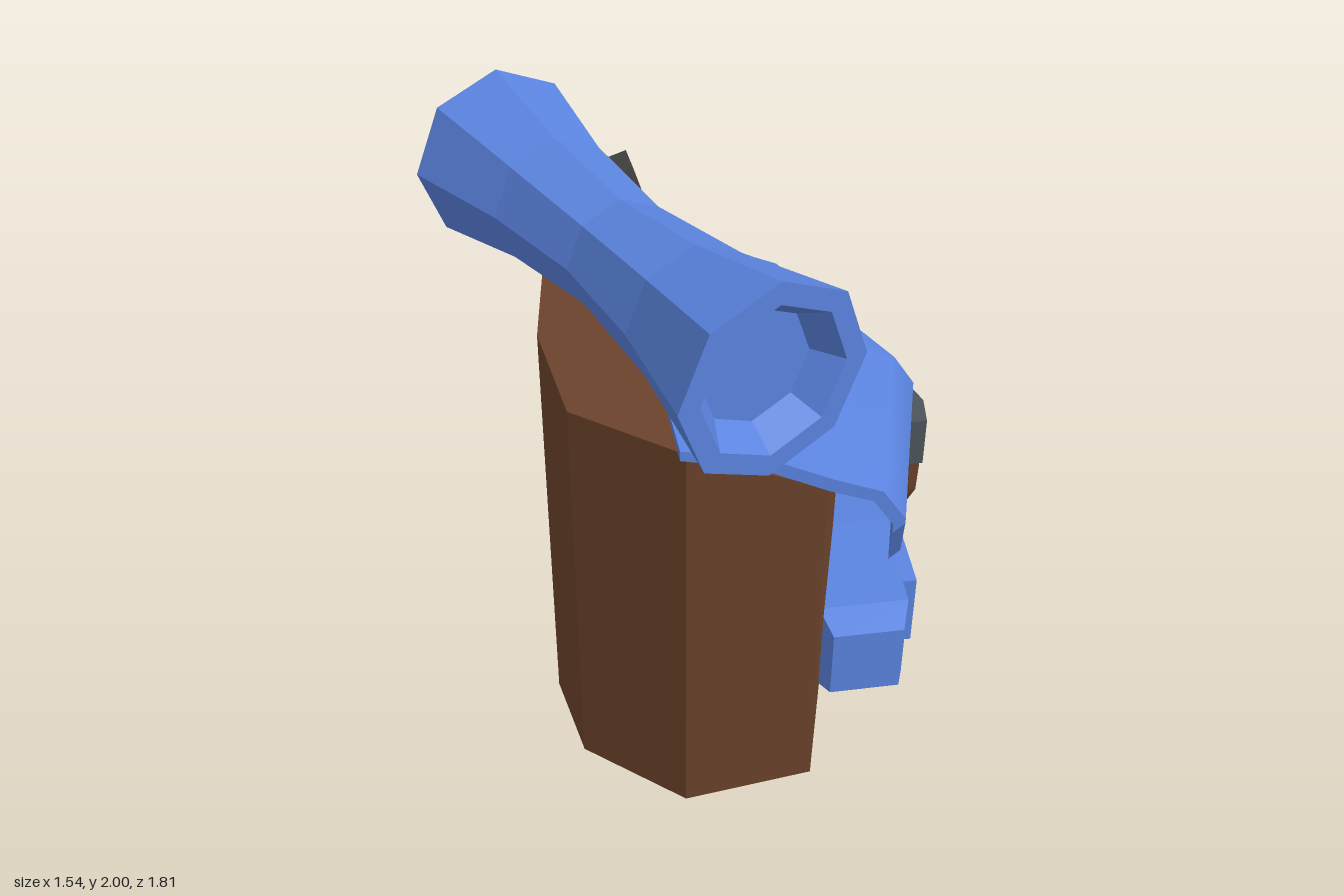
import * as THREE from 'three';
import { toCreasedNormals } from 'three/addons/utils/BufferGeometryUtils.js';

const mat = (color) => new THREE.MeshStandardMaterial({ color, flatShading: true });
const brown = mat(0x6b432b), blue = mat(0x5b84e0), dark = mat(0x434343);
const slate = mat(0x4c545c), teal = mat(0x5f929c);

function add(parent, name, geometry, material) {
  const mesh = new THREE.Mesh(geometry, material);
  mesh.name = name;
  parent.add(mesh);
  return mesh;
}

// Skins rings of equal, even point count and closes both ends; faces are turned outward.
function loft(rings) {
  const tris = [], n = rings[0].length;
  const tri = (a, b, c) => {
    const [p, q, r] = [a, b, c].map((v) => new THREE.Vector3(...v));
    const area = q.clone().sub(p).cross(r.clone().sub(p)).length();
    if (area > 1e-7) tris.push([p, q, r]);
  };
  const quad = (a, b, c, d) => { tri(a, b, c); tri(a, c, d); };
  for (let k = 0; k + 1 < rings.length; k++) {
    for (let i = 0; i < n; i++) {
      const j = (i + 1) % n;
      quad(rings[k][i], rings[k][j], rings[k + 1][j], rings[k + 1][i]);
    }
  }
  const first = rings[0], last = rings[rings.length - 1];
  for (let i = 0; i < n / 2 - 1; i++) {
    quad(first[n - 1 - i], first[n - 2 - i], first[i + 1], first[i]);
    quad(last[i], last[i + 1], last[n - 2 - i], last[n - 1 - i]);
  }
  const volume = tris.reduce((s, [p, q, r]) => s + p.dot(q.clone().cross(r)), 0);
  const pos = tris.flatMap(([p, q, r]) => (volume > 0 ? [p, q, r] : [p, r, q]))
    .flatMap((v) => v.toArray());
  const geo = new THREE.BufferGeometry();
  geo.setAttribute('position', new THREE.Float32BufferAttribute(pos, 3));
  geo.computeVertexNormals();
  return geo;
}

// Block bowed along z; stations are [z, xBack, xFront, yLow, yHigh].
const bowed = (stations) => loft(stations.map(([z, x0, x1, y0, y1]) =>
  [[x0, y0, z], [x1, y0, z], [x1, y1, z], [x0, y1, z]]));

// Mirrors half the stations of a bowed block about zc.
function mirroredBlock(zc, half) {
  const side = (s) => half.map(([z, ...rest]) => [zc + s * z, ...rest]);
  return bowed([...side(-1), ...side(1).reverse().slice(1)]);
}

function bag() {
  const zc = 0.016;
  // [x, z, bottom y, top y] round the footprint
  const half = [[-0.4, 0.44, 0.115, 1.4], [-0.11, 0.7, 0.115, 1.4], [0.28, 0.7, 0.17, 1.25]];
  const plan = [[-0.45, 0, 0, 1.4], ...half, [0.5, 0, 0.135, 1.25],
    ...half.map(([x, z, a, b]) => [x, -z, a, b]).reverse()];
  const ring = (f) => plan.map((p) => f(p));
  return loft([
    ring(() => [-0.11, 0, zc]),
    ring(([x, z, a]) => [x, a, zc + z]),
    ring(([x, z, , b]) => [x + (x > 0.4 ? 0.01 : 0), b, zc + z]),
    ring(() => [-0.11, 1.4, zc]),
  ]);
}

function flap() {
  const zc = 0.035, halfWidth = 0.7;
  // [x, y, how far the row falls back toward the sides]; null y is the hem
  const outer = [[-0.13, 1.425, 0], [0.2, 1.385, 0.5], [0.52, 1.29, 1], [0.66, 1.235, 1],
    [0.73, 1.135, 1], [0.73, null, 1]];
  const inner = [[-0.13, 1.395, 0], [0.19, 1.35, 0.5], [0.505, 1.255, 1], [0.635, 1.205, 1],
    [0.695, 1.12, 1], [0.695, null, 1]];
  const rings = [[-0.7, 1.12], [-0.455, 0.83], [0, 0.83], [0.455, 0.83], [0.7, 1.12]].map(([z, hem]) => {
    const row = (drop) => ([x, y, k]) =>
      [x - 0.23 * k * Math.abs(z) / halfWidth, y ?? hem - drop, zc + z];
    return [...outer.map(row(0)), ...inner.map(row(0.03)).reverse()];
  });
  return toCreasedNormals(loft(rings), 0.6);
}

function bedroll() {
  const a = new THREE.Vector3(-0.505, 1.71, -0.635), b = new THREE.Vector3(0.105, 1.64, 0.785);
  const h = a.distanceTo(b) / 2;
  const end = [[0, h - 0.09], [0.17, h - 0.09], [0.225, h], [0.29, h], [0.21, h / 2]];
  const profile = [...end.map(([r, y]) => [r, -y]), [0.175, 0], ...end.slice().reverse()];
  const geo = new THREE.LatheGeometry(profile.map((p) => new THREE.Vector2(...p)), 8);
  // Stand one corner of the octagon upright
  const dir = b.clone().sub(a).normalize();
  const up = new THREE.Vector3(0, 1, 0).addScaledVector(dir, -dir.y).normalize();
  const m = new THREE.Matrix4().makeBasis(dir.clone().cross(up), dir, up);
  m.setPosition(a.add(b).multiplyScalar(0.5));
  return geo.applyMatrix4(m);
}

function shovel() {
  const g = new THREE.Group();
  g.name = 'shovel';
  // Five-sided blade: [u, v, inner z, outer z]
  const blade = [[0, -0.34, 0.06, -0.075], [0.285, -0.124, 0.05, -0.055], [0.25, 0.235, 0.08, -0.06],
    [0, 0.235, 0.07, -0.085], [-0.25, 0.235, 0.08, -0.06], [-0.285, -0.124, 0.05, -0.055]];
  add(g, 'shovelBlade', loft([blade.map(([u, v, a]) => [u, v, a]),
    blade.map(([u, v, , b]) => [u, v, b])]), teal);
  // [name, top radius, bottom radius, start, end]
  for (const [name, rt, rb, v0, v1] of [
    ['shovelSocket', 0.05, 0.06, 0.18, 0.78],
    ['shovelShaft', 0.032, 0.032, 0.76, 0.95],
    ['gripCollar', 0.085, 0.055, 0.92, 1.02],
  ]) {
    const geo = new THREE.CylinderGeometry(rt, rb, v1 - v0, 6);
    add(g, name, geo, dark).position.y = (v0 + v1) / 2;
  }
  // Hollow hand grip
  const rect = (path, w, h) => path.moveTo(-w, -h).lineTo(w, -h).lineTo(w, h).lineTo(-w, h).closePath();
  const grip = new THREE.Shape();
  rect(grip, 0.185, 0.09);
  const hole = new THREE.Path();
  rect(hole, 0.125, 0.048);
  grip.holes.push(hole);
  const gripGeo = new THREE.ExtrudeGeometry(grip, { depth: 0.2, bevelEnabled: false });
  add(g, 'shovelGrip', gripGeo.translate(0, 1.1, -0.1), dark);
  g.position.set(0.14, 0.42, -0.7);
  g.rotation.set(-0.09, 0, 0.325);
  return g;
}

export function createModel() {
  const model = new THREE.Group();
  model.name = 'backpack';
  add(model, 'bagBody', bag(), brown);
  const flapMat = blue.clone();
  flapMat.flatShading = false;
  add(model, 'flap', flap(), flapMat);
  add(model, 'bedroll', bedroll(), blue);

  // Front pocket with raised panel
  add(model, 'pocket', mirroredBlock(0.02, [[0.5, 0.385, 0.61, 0.305, 0.535],
    [0.4, 0.36, 0.65, 0.27, 0.57], [0, 0.36, 0.68, 0.25, 0.59]]), blue);
  add(model, 'pocketPanel', mirroredBlock(0.018, [[0.283, 0.62, 0.715, 0.295, 0.545],
    [0, 0.65, 0.735, 0.28, 0.56]]), blue);

  // Closure
  add(model, 'buckle', mirroredBlock(0.033, [[0.122, 0.685, 0.745, 0.905, 1.065],
    [0, 0.7, 0.77, 0.905, 1.065]]), slate);
  // [y, half width, back x, front x]
  const strap = [[0.95, 0.055, 0.725, 0.762], [0.75, 0.047, 0.73, 0.757], [0.685, 0.025, 0.715, 0.735]];
  add(model, 'strap', loft(strap.map(([y, w, x0, x1]) =>
    [[x0, y, 0.035 - w], [x1, y, 0.035 - w], [x1, y, 0.035 + w], [x0, y, 0.035 + w]])), brown);

  model.add(shovel());
  return model;
}
